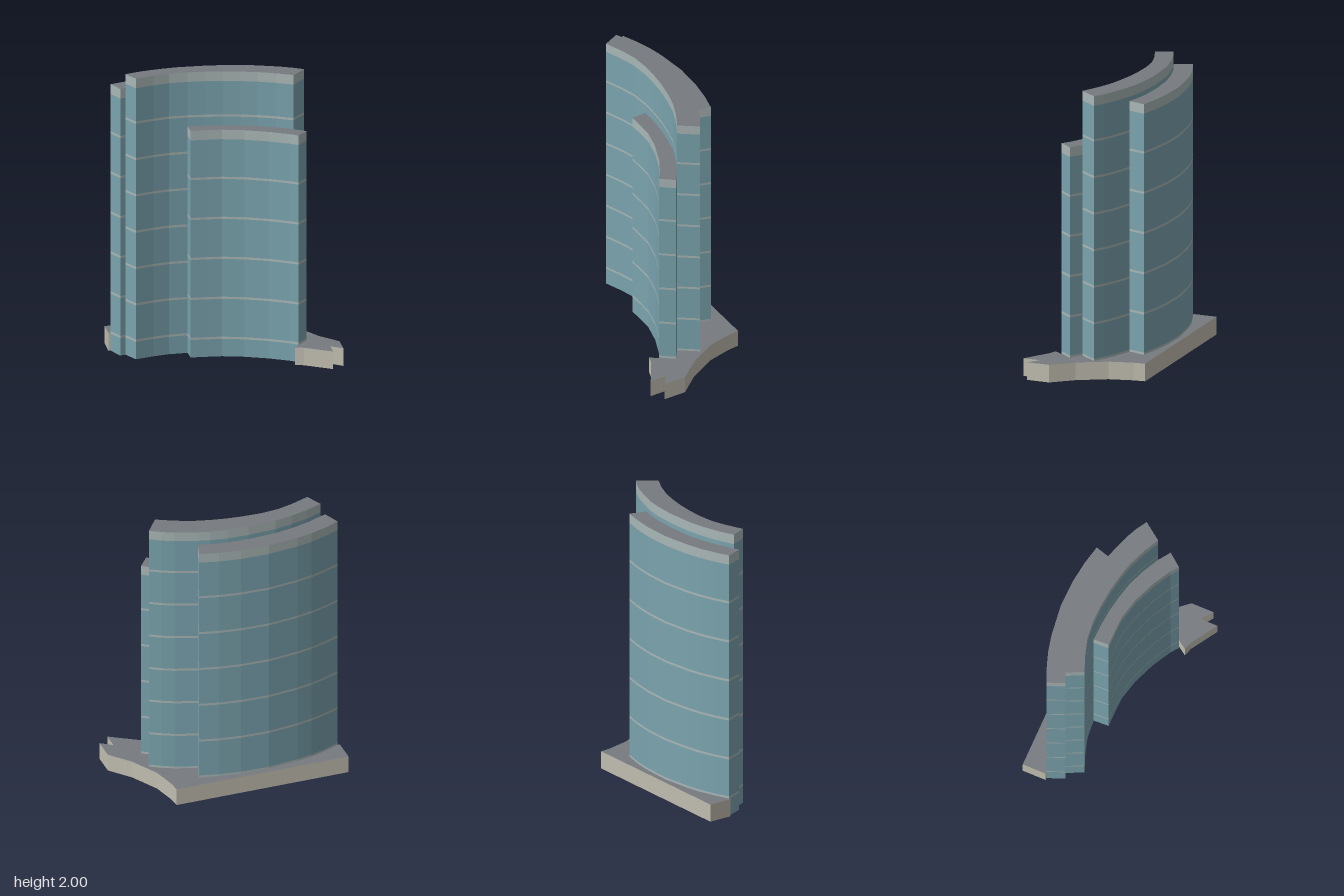
import * as THREE from 'three';

const mat = (name, color) => {
  const m = new THREE.MeshStandardMaterial({ color });
  m.name = name;
  return m;
};

// Horizontal layer: plan outline [x, z] extruded upward from y0 to y1
function layer(name, plan, y0, y1, material) {
  const shape = new THREE.Shape(plan.map(([x, z]) => new THREE.Vector2(x, -z)));
  const geo = new THREE.ExtrudeGeometry(shape, { depth: y1 - y0, bevelEnabled: false });
  geo.rotateX(-Math.PI / 2);
  geo.translate(0, y0, 0);
  const mesh = new THREE.Mesh(geo, material);
  mesh.name = name;
  return mesh;
}

export function createModel() {
  const glass = mat('blue glass', 0x7aa3ae);
  const trim = mat('pale trim', 0xa9b7b6);
  const roof = mat('grey roof', 0x777b80);
  const stone = mat('podium stone', 0xc0bdb0);

  // Curved lines in plan, running from -x to +x
  const backOuter = [[-0.75, -0.24], [-0.64, -0.286], [-0.53, -0.322], [-0.42, -0.346], [-0.2, -0.373],
    [0, -0.367], [0.15, -0.347], [0.284, -0.316]];
  const midShared = [[-0.55, -0.18], [-0.43, -0.212], [-0.3, -0.236], [-0.1, -0.245],
    [0.05, -0.237], [0.17, -0.219], [0.25, -0.197]];
  const midTail = [[0.4, -0.146], [0.48, -0.108], [0.555, -0.063]];
  const midInnerLeft = [[-0.61, -0.02], [-0.48, -0.069], [-0.37, -0.1]];
  const frontShared = [[-0.24, -0.111], [-0.12, -0.107], [0, -0.095], [0.12, -0.073], [0.23, -0.045],
    [0.35, 0.003], [0.464, 0.062]];
  const frontTail = [0.545, 0.12];
  const frontInner = [[-0.235, -0.003], [-0.12, -0.003], [-0.02, 0], [0.13, 0.036], [0.29, 0.1],
    [0.42, 0.172], [0.473, 0.211]];
  const rev = (pts) => [...pts].reverse();

  const towers = [
    { name: 'backTower', height: 1.9, step: 0.285,
      plan: [...backOuter, ...rev(midShared), [-0.702, -0.12]] },
    { name: 'middleTower', height: 2, step: 0.259,
      plan: [[-0.664, -0.135], ...midShared, ...midTail, ...rev(frontShared), ...rev(midInnerLeft)] },
    { name: 'frontTower', height: 1.615, step: 0.285,
      plan: [...frontShared, frontTail, ...rev(frontInner)] },
  ];

  const model = new THREE.Group();
  model.name = 'curvedTowerBlock';

  // Each tower: glass storeys, flush pale bands and a parapet
  for (const { name, height, step, plan } of towers) {
    const tower = new THREE.Group();
    tower.name = name;
    const parapetY = height - 0.068;
    const half = 0.008;
    let y = 0;
    for (let b = 0.132; b < parapetY - 0.1; b += step) {
      tower.add(layer('glassStorey', plan, y, b - half, glass));
      tower.add(layer('floorBand', plan, b - half, b + half, trim));
      y = b + half;
    }
    tower.add(layer('glassStorey', plan, y, parapetY, glass));
    tower.add(layer('parapet', plan, parapetY, height, [roof, trim]));
    model.add(tower);
  }

  // Podium wrapping round the back and the +x end of the towers
  const podiumPlan = [
    [-0.765, -0.41], [0.482, -0.41], [0.49, -0.33], [0.532, -0.16], [0.64, 0.036], [0.763, 0.18],
    [0.763, 0.343], [0.683, 0.283], [0.683, 0.405], [0.5, 0.29], [0.44, 0.27],
    frontTail, frontShared[6], ...rev(midTail), midShared[6], ...rev(backOuter), [-0.765, -0.24],
  ];
  const podium = new THREE.Group();
  podium.name = 'podium';
  podium.add(layer('podiumBase', podiumPlan, 0, 0.115, stone));
  podium.add(layer('podiumDeck', podiumPlan, 0.115, 0.125, [roof, stone]));
  model.add(podium);

  return model;
}
